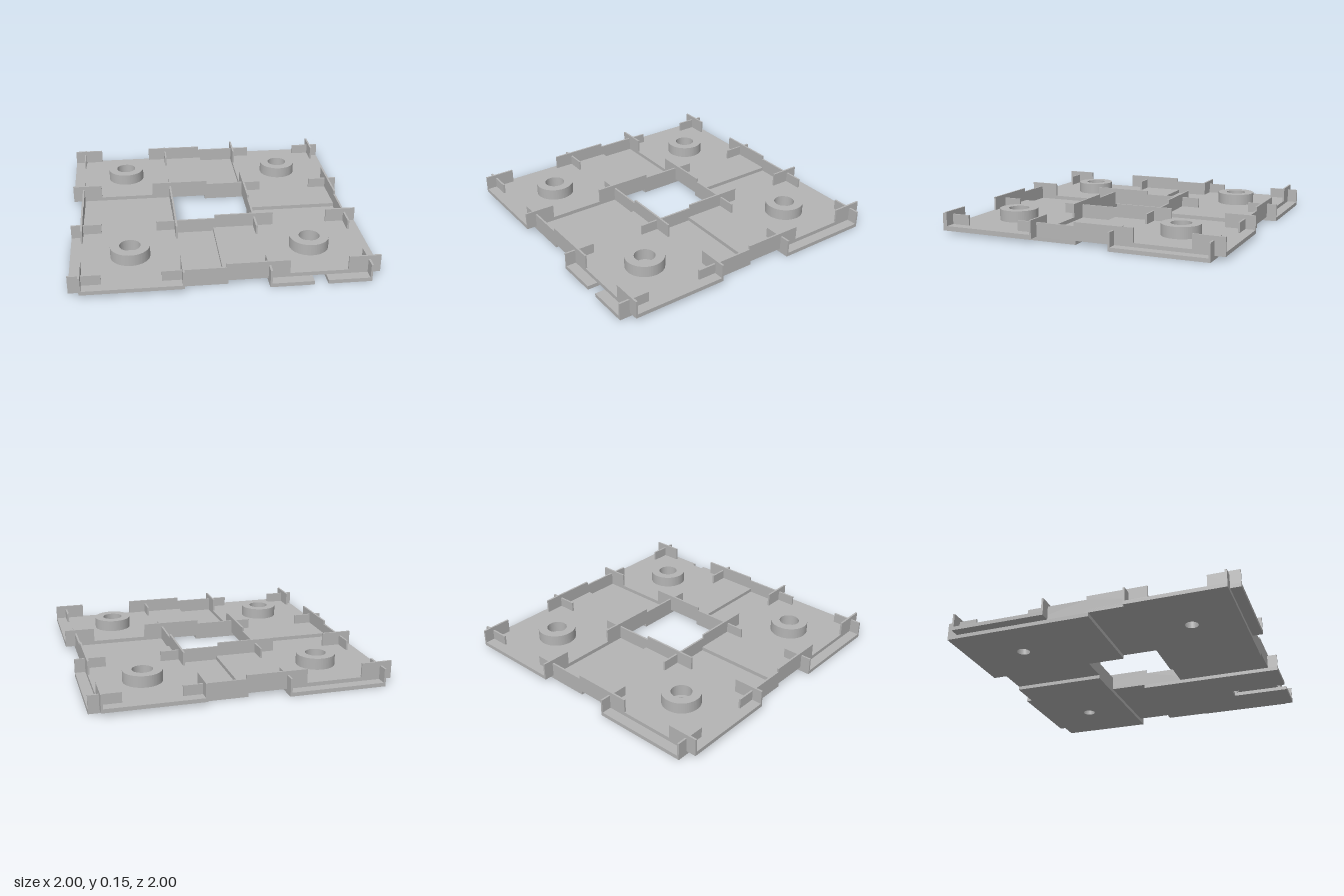
import * as THREE from 'three';

const grey = new THREE.MeshStandardMaterial({ color: 0xb4b4b4 });
grey.name = 'plain grey';

const IN = 0.27, OUT = 0.93, MID = 0.6;      // strip edges and centre line
const STEP = 0.026, TOP = 0.147;             // plate thickness, raised wall height
const WALL = 0.013, HOLE = 0.045;

function add(parent, name, geometry) {
  const mesh = new THREE.Mesh(geometry, grey);
  mesh.name = name;
  parent.add(mesh);
}

const outline = (points) => new THREE.Shape(points.map(([x, y]) => new THREE.Vector2(x, y)));

function punch(shape, x, y, radius) {
  const hole = new THREE.Path();
  hole.absarc(x, y, radius, 0, Math.PI * 2, true);
  shape.holes.push(hole);
}

// Flat shape drawn in x and z, given a thickness below the height "top"
function plate(shape, top, depth) {
  return new THREE.ExtrudeGeometry(shape, { depth, bevelEnabled: false, curveSegments: 32 })
    .rotateX(Math.PI / 2).translate(0, top, 0);
}

// One channel: its left half lies low, its right half passes over the next channel
function makeStrip(slotted) {
  const strip = new THREE.Group();

  // Low floor, with either a round hole or an open slot from its end
  const notch = slotted
    ? [[-1, MID + HOLE], [-MID, MID + HOLE], [-MID, MID - HOLE], [-1, MID - HOLE]] : [];
  const low = outline([[-1, IN], [0.013, IN], [0.013, OUT], [-1, OUT], ...notch]);
  if (!slotted) punch(low, -MID, MID, HOLE);
  add(strip, 'lowFloor', plate(low, STEP, STEP));

  // Raised floor
  const high = outline([[-0.013, IN], [1, IN], [1, OUT], [-0.013, OUT]]);
  punch(high, MID, MID, HOLE);
  add(strip, 'raisedFloor', plate(high, 2 * STEP, STEP));

  // Side walls, cut down to the floor at each crossing
  const lowTop = TOP - STEP;
  const side = outline([
    [-1, 0], [0.013, 0], [0.013, STEP], [1, STEP], [1, TOP],
    [0.79, TOP], [0.79, 2 * STEP], [0.41, 2 * STEP], [0.41, TOP], [0, TOP], [0, lowTop],
    [-0.41, lowTop], [-0.41, STEP], [-0.79, STEP], [-0.79, lowTop], [-1, lowTop],
  ]);
  for (const [name, z] of [['innerWall', IN], ['outerWall', OUT - WALL]]) {
    const wall = new THREE.ExtrudeGeometry(side, { depth: WALL, bevelEnabled: false });
    add(strip, name, wall.translate(0, 0, z));
  }

  // Round boss standing on the raised floor
  const ring = new THREE.Shape();
  ring.absarc(MID, MID, 0.132, 0, Math.PI * 2, false);
  punch(ring, MID, MID, 0.07);
  add(strip, 'boss', plate(ring, 0.13, 0.13 - 2 * STEP));
  return strip;
}

export function createModel() {
  const model = new THREE.Group();
  model.name = 'wovenFrame';
  // Four strips woven over and under around the centre
  ['frontStrip', 'leftStrip', 'backStrip', 'rightStrip'].forEach((name, i) => {
    const strip = makeStrip(i === 1);
    strip.name = name;
    strip.rotation.y = i * Math.PI / 2;
    model.add(strip);
  });
  return model;
}
